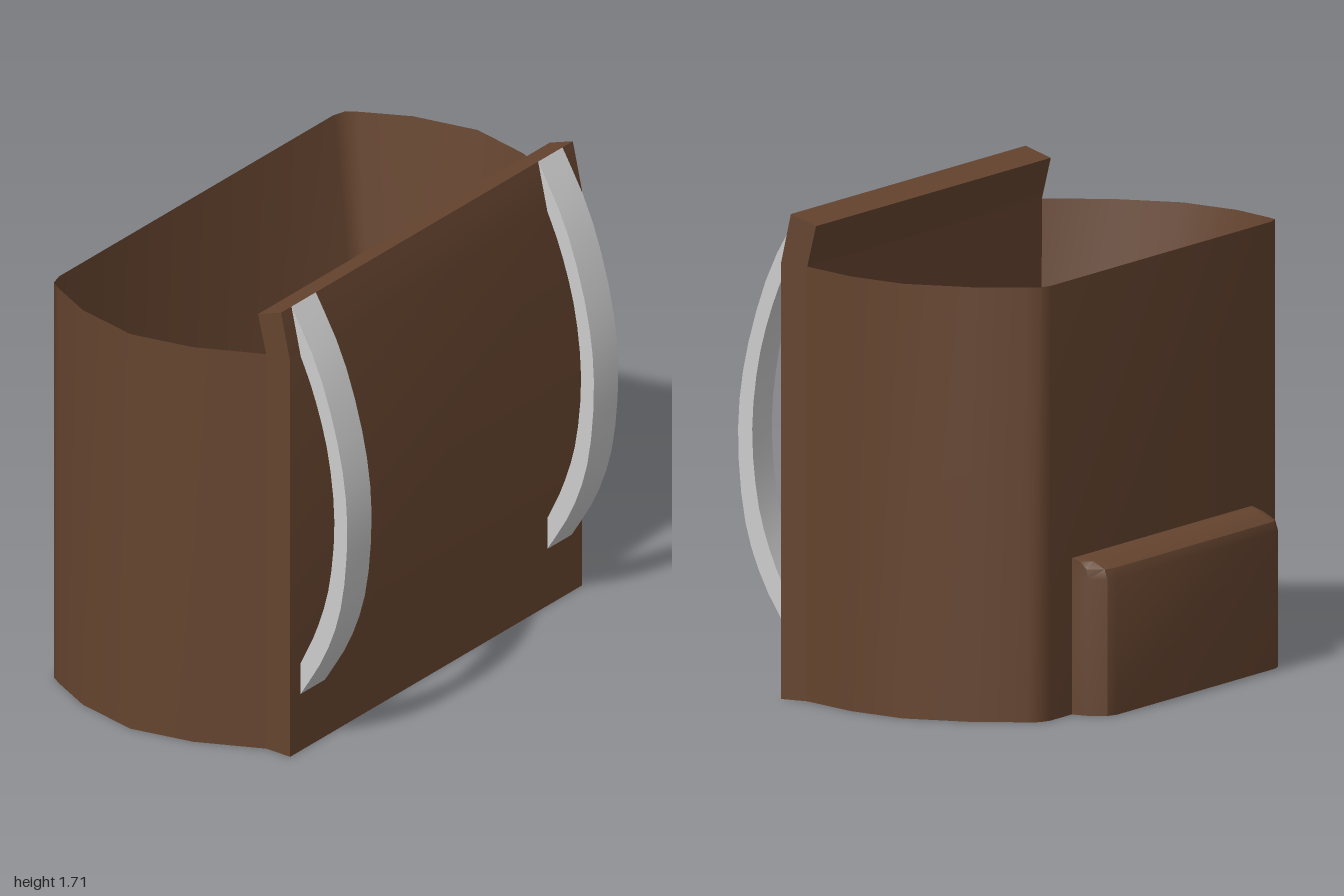
import * as THREE from 'three';
import { toCreasedNormals } from 'three/addons/utils/BufferGeometryUtils.js';

const brown = new THREE.MeshStandardMaterial({ color: 0x65442f });
const grey = new THREE.MeshStandardMaterial({ color: 0xcccccc });

// Mirrors a half outline of [x, z] points into a closed counter-clockwise one
const mirrored = half => [...half, ...half.map(([x, z]) => [-x, z]).reverse()];

// Joins equal-length rings of [x, y, z] points and caps both ends
function loft(rings, crease) {
  const n = rings[0].length, position = [], index = [];
  rings.forEach(r => r.forEach(p => position.push(...p)));
  for (let i = 0; i < rings.length - 1; i++) {
    for (let j = 0; j < n; j++) {
      const a = i * n + j, b = i * n + (j + 1) % n;
      index.push(a, b, b + n, a, b + n, a + n);
    }
  }
  [0, rings.length - 1].forEach((i, end) => {
    const c = position.length / 3;
    position.push(0, rings[i][0][1], rings[i].reduce((s, p) => s + p[2], 0) / n);
    for (let j = 0; j < n; j++) {
      const a = i * n + j, b = i * n + (j + 1) % n;
      index.push(c, ...(end ? [a, b] : [b, a]));
    }
  });
  const g = new THREE.BufferGeometry();
  g.setAttribute('position', new THREE.Float32BufferAttribute(position, 3));
  g.setIndex(index);
  return toCreasedNormals(g.toNonIndexed(), crease);
}

// Extrudes a side profile of (z, y) points across x, centred on the given x
function sideProfile(points, width, x) {
  const g = new THREE.ExtrudeGeometry(new THREE.Shape(points), { depth: width, bevelEnabled: false });
  g.rotateY(-Math.PI / 2).translate(x + width / 2, 0, 0);
  return toCreasedNormals(g, 0.35);
}

const vectors = list => list.map(([a, b]) => new THREE.Vector2(a, b));

export function createModel() {
  const group = new THREE.Group();
  const add = (name, geometry, material) => {
    const mesh = new THREE.Mesh(geometry, material);
    mesh.name = name;
    group.add(mesh);
  };

  // Open bag: straight outer wall, thin rim, inner wall tapering to the floor
  const outer = mirrored([[0.84, 0.385], [0.95, 0.15], [1, -0.085], [0.95, -0.33],
    [0.865, -0.5], [0.84, -0.54], [0.79, -0.555]]);
  const inner = mirrored([[0.73, 0.33], [0.745, 0.2], [0.74, 0], [0.735, -0.17],
    [0.75, -0.29], [0.745, -0.32], [0.71, -0.34]]);
  const ring = (outline, y) => outline.map(([x, z]) => [x, y, z]);
  add('bag', loft([ring(outer, 0), ring(outer, 1.53), ring(inner, 0.2)], 0.75), brown);

  // Panel worn against the back, with its top edge leaning inwards
  add('backPanel', sideProfile(vectors([[0.385, 0], [0.49, 0], [0.49, 1.53], [0.45, 1.71],
    [0.35, 1.675], [0.385, 1.53]]), 1.68, 0), brown);

  // Low pocket with rounded upright corners and a rounded top edge
  const pocket = mirrored([[0.64, -0.54], [0.64, -0.62], [0.61, -0.68], [0.57, -0.695]]);
  const steps = [[0, 1], [0.48, 1], [0.515, 0.92], [0.54, 0.6], [0.55, 0.3]];
  add('pocket', loft(steps.map(([y, f]) =>
    pocket.map(([x, z]) => [x, y, -0.54 + (z + 0.54) * f])), 0.6), brown);

  // Pair of bowed shoulder straps
  const outside = new THREE.SplineCurve(vectors([[0.45, 1.71], [0.57, 1.49], [0.66, 1.2],
    [0.693, 0.93], [0.67, 0.63], [0.6, 0.41], [0.49, 0.22]])).getPoints(16);
  const inside = new THREE.SplineCurve(vectors([[0.485, 0.33], [0.56, 0.49], [0.615, 0.68],
    [0.637, 0.93], [0.61, 1.18], [0.55, 1.39], [0.485, 1.54]])).getPoints(16);
  for (const side of [1, -1]) {
    add(side > 0 ? 'leftStrap' : 'rightStrap',
      sideProfile([...outside, ...inside], 0.14, side * 0.71), grey);
  }
  return group;
}
